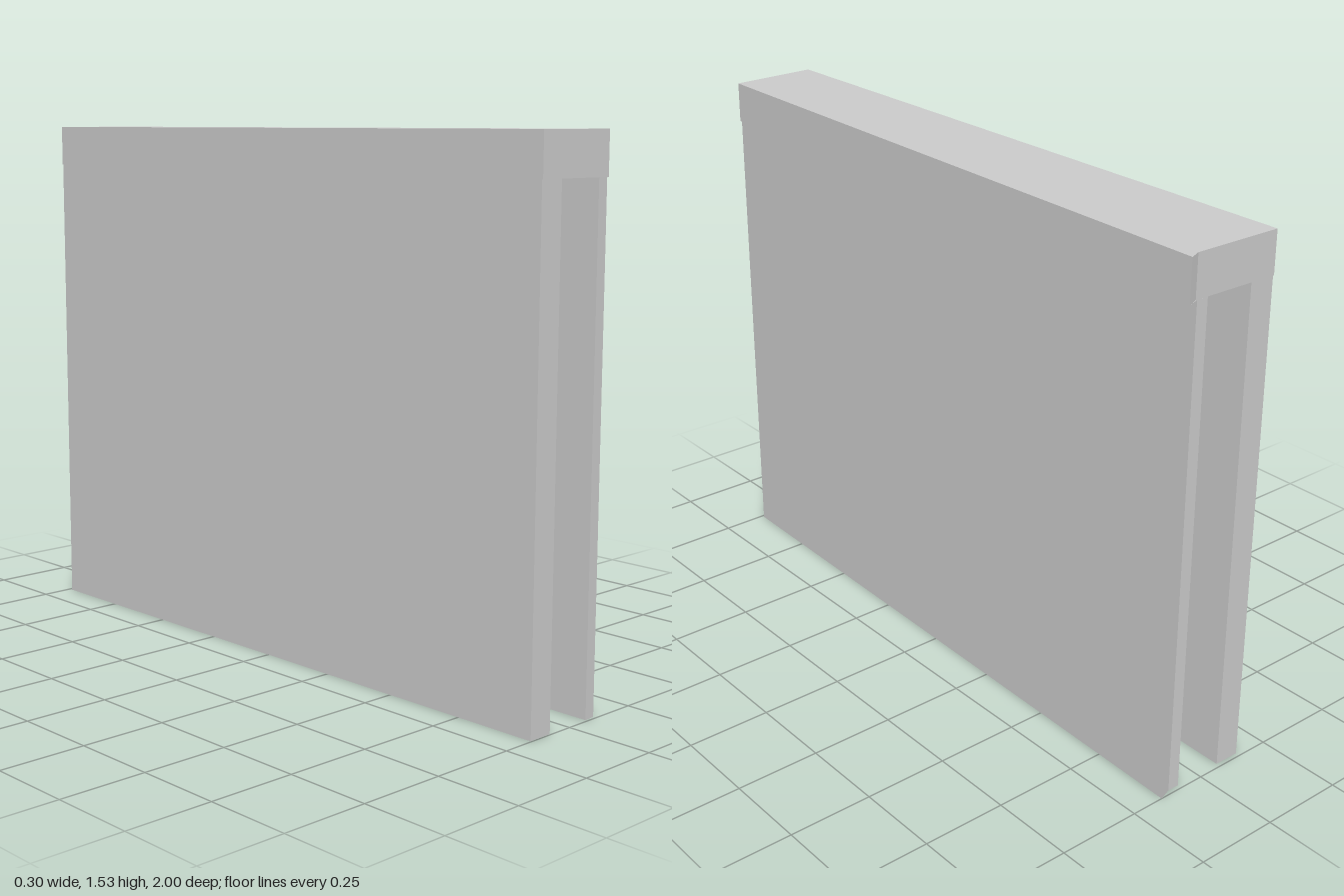
import * as THREE from 'three';

const material = new THREE.MeshStandardMaterial({ color: 0xcccccc, flatShading: true });

// Upright prism from a plan outline of [x, z] corners
function prism(name, outline, bottom, top) {
  const shape = new THREE.Shape(outline.map(([x, z]) => new THREE.Vector2(x, -z)));
  const geometry = new THREE.ExtrudeGeometry(shape, { depth: top - bottom, bevelEnabled: false });
  geometry.rotateX(-Math.PI / 2);
  geometry.translate(0, bottom, 0);
  const mesh = new THREE.Mesh(geometry, material);
  mesh.name = name;
  return mesh;
}

export function createModel() {
  const group = new THREE.Group();
  group.name = 'archway';
  const height = 1.535, underside = 1.415;

  // Straight wall
  group.add(prism('straightWall',
    [[-0.153, 0.997], [-0.076, 0.996], [-0.076, -0.987], [-0.153, -0.987]], 0, underside));

  // Wall that thickens towards the back, with a small flared rear corner
  group.add(prism('taperedWall',
    [[0.075, 0.993], [0.11, 0.991], [0.149, -1], [0.11, -0.986], [0.075, -0.987]], 0, underside));

  // Roof slab spanning both walls, slightly proud of the tapered wall at the front
  group.add(prism('roofSlab',
    [[-0.153, 1], [0.04, 0.995], [0.115, 0.992], [0.149, -1], [0.115, -0.986], [-0.153, -0.99]],
    underside, height));

  return group;
}
